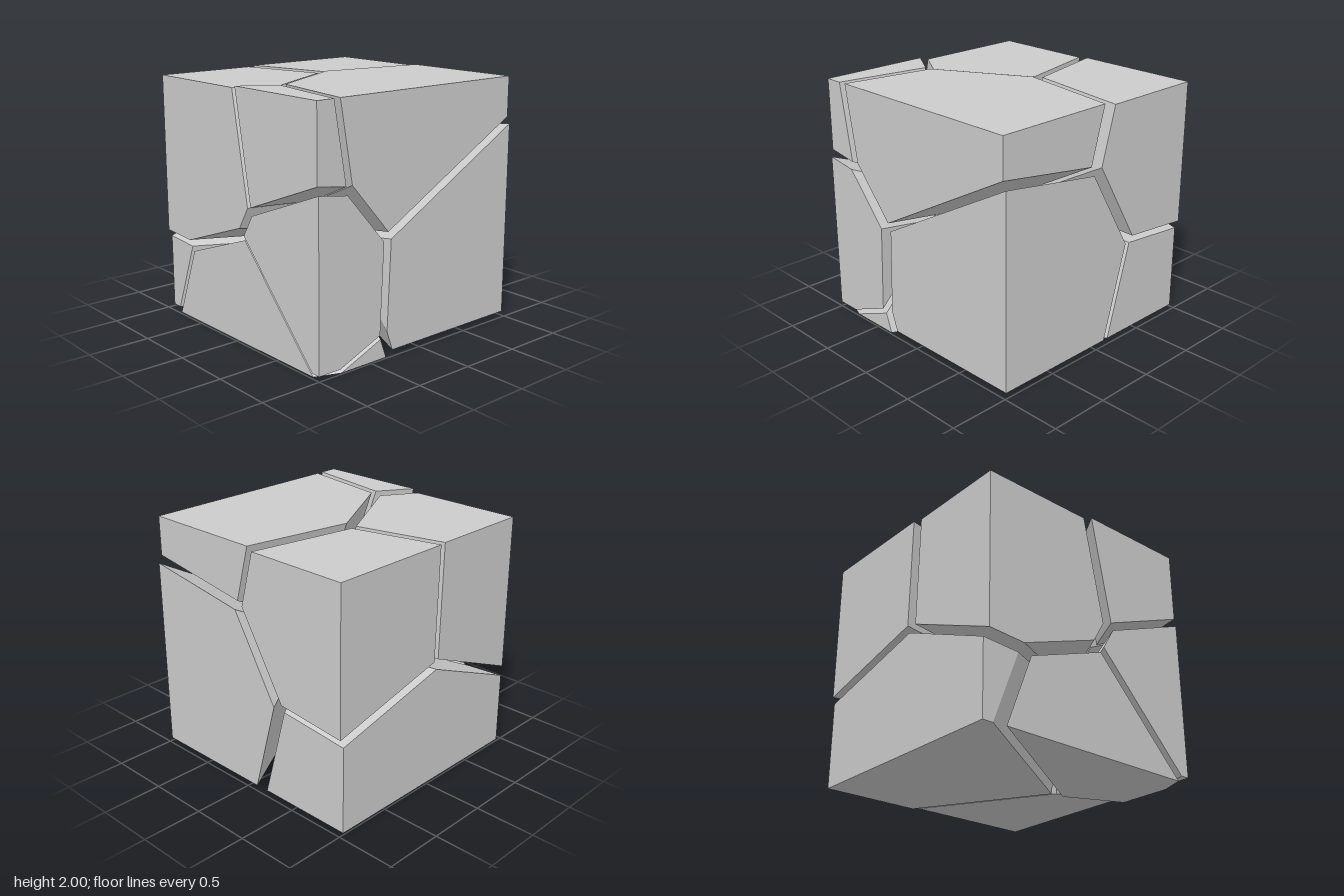
import * as THREE from 'three';
import { ConvexGeometry } from 'three/addons/geometries/ConvexGeometry.js';

const HALF = 0.95; // half side of the cube before the chunks move apart

// Each chunk owns the points where slope . p - bias is the largest; shift moves it outward
const CHUNKS = [
  { name: 'topFrontChunk', slope: [0, 0, 0], bias: 0, shift: [0.01, 0.05, 0.03] },
  { name: 'bottomFrontLeftChunk', slope: [0.529, -0.962, 0.144], bias: 0.034, shift: [0.04, -0.01, 0.03] },
  { name: 'topBackLeftChunk', slope: [0.17, -0.28, -1], bias: -0.027, shift: [0.04, 0.035, -0.05] },
  { name: 'bottomBackChunk', slope: [-0.073, -1.26, -0.907], bias: -0.118, shift: [0.01, -0.035, -0.05] },
  { name: 'topBackRightChunk', slope: [-0.475, -0.295, -0.849], bias: -0.122, shift: [-0.03, 0.03, -0.03] },
  { name: 'topFrontRightChunk', slope: [-0.913, -0.163, -0.153], bias: 0.429, shift: [-0.05, 0.05, 0.035] },
  { name: 'frontRightChunk', slope: [-1.021, -0.896, 0.131], bias: 0.535, shift: [-0.05, -0.01, 0.05] },
  { name: 'bottomRightChunk', slope: [-0.798, -1.441, -0.441], bias: 0.342, shift: [-0.03, -0.05, 0.035] },
];

// Planes n . p <= d bounding one chunk: six cube sides and one cut per neighbour
function boundingPlanes(chunk) {
  const planes = [];
  for (const axis of [0, 1, 2]) {
    for (const sign of [1, -1]) {
      planes.push({ n: new THREE.Vector3().setComponent(axis, sign), d: HALF });
    }
  }
  for (const other of CHUNKS) {
    if (other === chunk) continue;
    const n = new THREE.Vector3(...other.slope).sub(new THREE.Vector3(...chunk.slope));
    const length = n.length();
    planes.push({ n: n.divideScalar(length), d: (other.bias - chunk.bias) / length });
  }
  return planes;
}

// Corners are the meeting points of three planes that lie inside all the others
function corners(planes) {
  const points = [];
  for (let i = 0; i < planes.length; i++) {
    for (let j = i + 1; j < planes.length; j++) {
      for (let k = j + 1; k < planes.length; k++) {
        const [a, b, c] = [planes[i], planes[j], planes[k]];
        const bc = b.n.clone().cross(c.n);
        const det = a.n.dot(bc);
        if (Math.abs(det) < 1e-6) continue;
        const p = bc.multiplyScalar(a.d)
          .addScaledVector(c.n.clone().cross(a.n), b.d)
          .addScaledVector(a.n.clone().cross(b.n), c.d)
          .divideScalar(det);
        const inside = planes.every((q) => q.n.dot(p) <= q.d + 1e-6);
        if (inside && !points.some((q) => q.distanceTo(p) < 1e-4)) points.push(p);
      }
    }
  }
  return points;
}

export function createModel() {
  const group = new THREE.Group();
  group.name = 'shatteredCube';
  const material = new THREE.MeshStandardMaterial({ color: 0xcccccc, flatShading: true });
  for (const chunk of CHUNKS) {
    const mesh = new THREE.Mesh(new ConvexGeometry(corners(boundingPlanes(chunk))), material);
    mesh.name = chunk.name;
    mesh.position.set(...chunk.shift);
    mesh.position.y += 1; // stand on the ground
    group.add(mesh);
  }
  return group;
}
